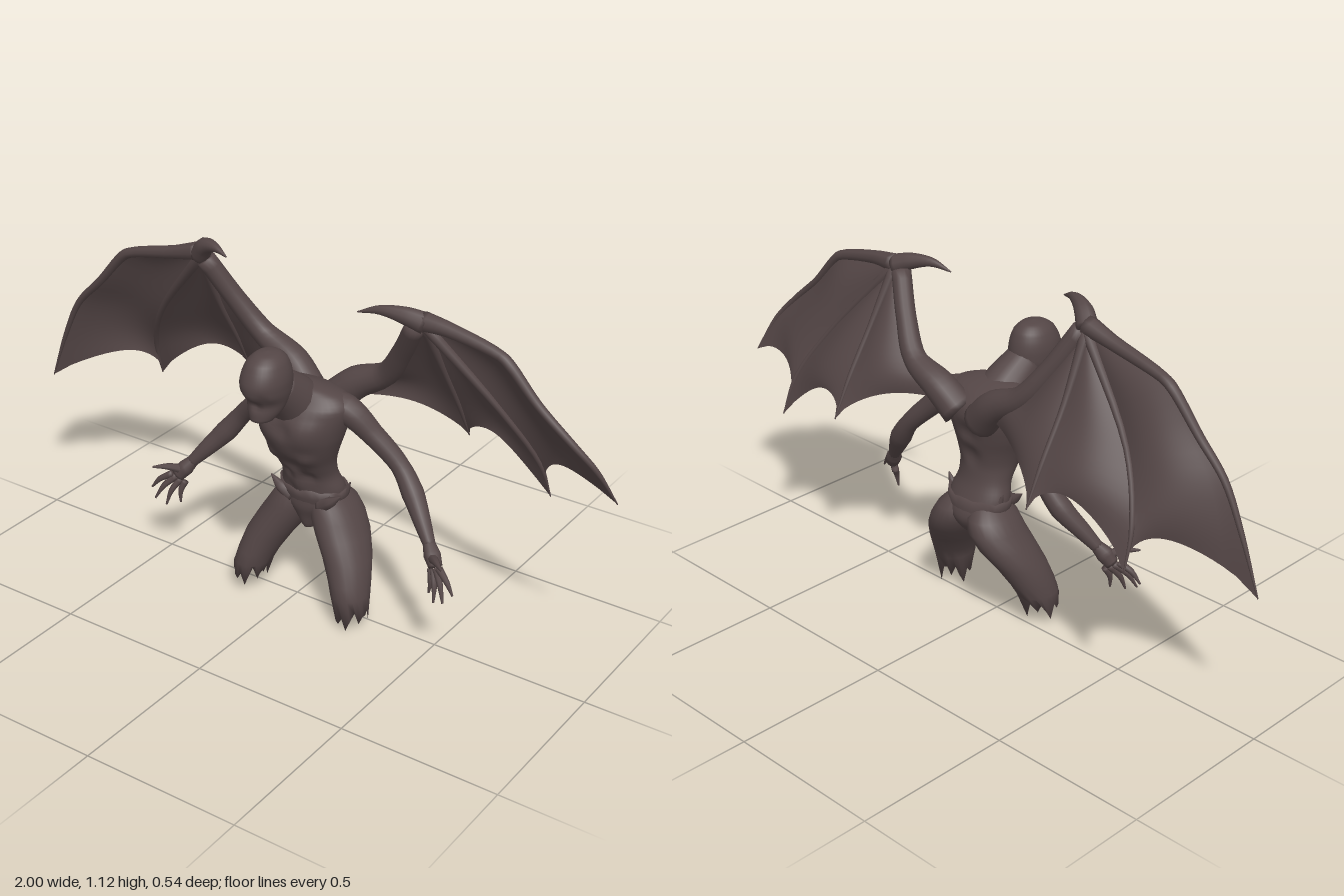
import * as THREE from 'three';

const V = (x, y, z) => new THREE.Vector3(x, y, z);
const skin = new THREE.MeshStandardMaterial({ color: 0x544646, side: THREE.DoubleSide });
skin.name = 'dark skin';

// Smooth skin over a list of point rings (wrap = closed around)
function skinGeo(rings, wrap) {
  const n = rings[0].length, idx = [];
  for (let j = 0; j < rings.length - 1; j++) {
    for (let i = 0; i < (wrap ? n : n - 1); i++) {
      const a = j * n + i, b = j * n + (i + 1) % n;
      idx.push(a, b, a + n, b, b + n, a + n);
    }
  }
  const g = new THREE.BufferGeometry().setFromPoints(rings.flat());
  g.setIndex(idx);
  g.computeVertexNormals();
  return g;
}

function add(group, name, geo) {
  const m = new THREE.Mesh(geo, skin);
  m.name = name;
  group.add(m);
}

// Horizontal rings going up: [y, centre x, half width, front z, back z, jag]
function loft(rows, seg = 28, fine = 3) {
  const mid = new THREE.CatmullRomCurve3(rows.map(r => V(r[1], r[0], (r[3] + r[4]) / 2)));
  const rad = new THREE.CatmullRomCurve3(rows.map(r => V(r[2], r[5] || 0, (r[3] - r[4]) / 2)));
  const rings = [], count = (rows.length - 1) * fine;
  for (let j = 0; j <= count; j++) {
    const c = mid.getPoint(j / count), r = rad.getPoint(j / count), ring = [];
    for (let i = 0; i < seg; i++) {
      const a = i / seg * Math.PI * 2;
      const jag = r.y * (0.5 + 0.3 * Math.sin(i * 2.2) + 0.2 * Math.sin(i * 0.9 + 1));
      ring.push(V(c.x + r.x * Math.cos(a), c.y + jag, c.z - r.z * Math.sin(a)));
    }
    rings.push(ring);
  }
  return skinGeo(rings, true);
}

const curveOf = pts => new THREE.CatmullRomCurve3(pts.map(p => V(p[0], p[1], p[2])));

// Round limb along a curve through [x, y, z, radius], closed at both ends
function limb(pts, seg = 12, steps = 5) {
  const curve = curveOf(pts), count = (pts.length - 1) * steps;
  const f = curve.computeFrenetFrames(count), rings = [];
  const ringAt = (j, scale) => {
    const t = j / count, s = t * (pts.length - 1), k = Math.min(Math.floor(s), pts.length - 2);
    const r = scale * THREE.MathUtils.lerp(pts[k][3], pts[k + 1][3], s - k), c = curve.getPoint(t);
    // frames are spaced by arc length, so rebuild the ring plane from the local tangent
    const T = curve.getTangent(t), N = f.normals[j].clone().addScaledVector(T, -f.normals[j].dot(T)).normalize();
    const B = T.clone().cross(N);
    return Array.from({ length: seg }, (_, i) => {
      const a = i / seg * Math.PI * 2;
      return c.clone().addScaledVector(N, r * Math.cos(a)).addScaledVector(B, r * Math.sin(a));
    });
  };
  rings.push(ringAt(0, 0));
  for (let j = 0; j <= count; j++) rings.push(ringAt(j, 1));
  rings.push(ringAt(count, 0));
  return skinGeo(rings, true);
}

// Push the surface along z near given points: [x, y, z, reach, amount]
function sculpt(geo, spots) {
  const p = geo.attributes.position, v = V(0, 0, 0);
  for (let i = 0; i < p.count; i++) {
    v.fromBufferAttribute(p, i);
    let dz = 0;
    for (const [x, y, z, reach, amount] of spots) {
      const d = v.distanceTo(V(x, y, z)) / reach;
      if (d < 1) dz += amount * (1 - d * d) ** 2;
    }
    p.setZ(i, v.z + dz);
  }
  geo.computeVertexNormals();
  return geo;
}

// Membrane fan between two finger curves that both start at the wrist
function membrane(a, b, wrist, scallop) {
  const rings = [], nv = 18, nu = 18;
  for (let j = 0; j <= nv; j++) {
    const v = j / nv, pa = a.getPointAt(v), pb = b.getPointAt(v), row = [];
    for (let i = 0; i <= nu; i++) {
      const u = i / nu, s = Math.max(0, Math.sin(Math.PI * u));
      const p = pa.clone().lerp(pb, u).lerp(wrist, scallop * s ** 0.5 * v ** 3);
      p.z -= 0.03 * s * Math.sin(Math.PI * v * 0.75);
      row.push(p);
    }
    rings.push(row);
  }
  return skinGeo(rings, false);
}

function wing(name, arm, hook, fingers) {
  const g = new THREE.Group();
  g.name = name;
  add(g, 'wingArm', limb(arm, 14));
  add(g, 'wingClaw', limb(hook, 10));
  fingers.forEach(f => add(g, 'wingFinger', limb(f, 8)));
  const w = fingers[0][0], wrist = V(w[0], w[1], w[2]);
  const curves = [curveOf([w, ...arm.slice(0, -1).reverse()]), ...fingers.map(curveOf)];
  [0.16, 0.21, 0.19].forEach((k, i) => add(g, 'wingMembrane', membrane(curves[i], curves[i + 1], wrist, k)));
  return g;
}

export function createModel() {
  const model = new THREE.Group();
  model.name = 'wingedCreature';

  // Torso with chest, hollow belly, ribs and spine groove
  add(model, 'torso', sculpt(loft([
    [0.25, 0.045, 0, -0.01, -0.01], [0.258, 0.045, 0.02, 0.02, -0.05], [0.3, 0.043, 0.055, 0.035, -0.1],
    [0.35, 0.043, 0.1, 0.047, -0.118], [0.4, 0.043, 0.105, 0.045, -0.098], [0.45, 0.04, 0.092, 0.058, -0.078],
    [0.5, 0.04, 0.096, 0.09, -0.07], [0.55, 0.04, 0.112, 0.122, -0.077], [0.6, 0.038, 0.132, 0.14, -0.088],
    [0.65, 0.038, 0.146, 0.14, -0.098], [0.7, 0.038, 0.156, 0.12, -0.092], [0.735, 0.038, 0.13, 0.09, -0.055],
    [0.757, 0.036, 0.07, 0.07, -0.005], [0.765, 0.036, 0, 0.03, 0.03]], 40, 4), [
    [-0.03, 0.635, 0.12, 0.07, 0.01], [0.105, 0.635, 0.12, 0.07, 0.01], [0.038, 0.64, 0.14, 0.04, -0.01],
    [0.038, 0.5, 0.09, 0.055, -0.018], [-0.02, 0.54, 0.09, 0.04, 0.012], [0.095, 0.54, 0.09, 0.04, 0.012],
    [0.0, 0.455, 0.06, 0.03, -0.012], [0.08, 0.455, 0.06, 0.03, -0.012], [0.04, 0.42, 0.05, 0.04, 0.01],
    [0.04, 0.62, -0.09, 0.05, 0.012], [0.04, 0.54, -0.08, 0.05, 0.012]]));

  // Torn skin around the waist
  add(model, 'waistTatters', loft([
    [0.345, 0.043, 0.1, 0.042, -0.112], [0.375, 0.043, 0.112, 0.05, -0.113],
    [0.397, 0.043, 0.114, 0.05, -0.104, 0.012], [0.385, 0.043, 0.09, 0.035, -0.08]], 26, 1));

  // Neck and head
  add(model, 'neck', limb([[0.036, 0.68, 0.04, 0.085], [0.03, 0.73, 0.085, 0.074], [0.022, 0.79, 0.15, 0.058]], 18));
  add(model, 'head', sculpt(loft([
    [0.906, 0.02, 0, 0.175, 0.175], [0.9, 0.02, 0.032, 0.215, 0.135], [0.88, 0.02, 0.054, 0.245, 0.11],
    [0.85, 0.02, 0.066, 0.263, 0.098], [0.82, 0.02, 0.07, 0.272, 0.093], [0.79, 0.02, 0.068, 0.268, 0.092],
    [0.76, 0.02, 0.06, 0.24, 0.11], [0.73, 0.02, 0.05, 0.243, 0.13], [0.705, 0.02, 0.034, 0.243, 0.165],
    [0.695, 0.02, 0, 0.22, 0.22]].reverse(), 36), [
    [-0.015, 0.785, 0.255, 0.025, -0.007], [0.055, 0.785, 0.255, 0.025, -0.007], [0.02, 0.757, 0.24, 0.022, -0.008]]));

  for (const [side, s] of [['left', 1], ['right', -1]]) {
    // Legs and arms mirror about slightly different centre lines
    const legX = x => 0.043 + s * (x - 0.043);
    const at = p => [0.05 + s * (p[0] - 0.05), ...p.slice(1)];
    const drop = s > 0 ? 0 : 0.025;

    // Thigh with a ragged, hollow lower end
    add(model, side + 'Thigh', loft([
      [0.11, 0.22, 0.01, 0.05, 0.03], [0.08, 0.225, 0.044, 0.09, -0.002, 0.02],
      [-0.01 + drop, 0.232, 0.052, 0.1, -0.004, 0.08], [0.1, 0.222, 0.057, 0.108, -0.033],
      [0.14, 0.21, 0.062, 0.1, -0.052], [0.2, 0.185, 0.072, 0.085, -0.085], [0.26, 0.15, 0.078, 0.07, -0.122],
      [0.31, 0.122, 0.077, 0.056, -0.136], [0.35, 0.108, 0.066, 0.046, -0.126], [0.39, 0.095, 0.04, 0.02, -0.09],
      [0.4, 0.09, 0, -0.03, -0.03]].map(r => [r[0], legX(r[1]), ...r.slice(2)]), 24, 1));

    // Hip spikes
    for (const tip of [[0.176, 0.41, 0.03, 0.002], [0.165, 0.425, -0.04, 0.002]])
      add(model, side + 'HipSpike', limb([[0.1, 0.355, tip[2] * 0.7, 0.025], [0.14, 0.38, tip[2], 0.018], tip].map(at), 6));

    // Arm
    add(model, side + 'Arm', limb([
      [0.11, 0.69, 0, 0.05], [0.175, 0.688, -0.003, 0.045], [0.25, 0.62, -0.026, 0.034], [0.335, 0.535, -0.043, 0.029],
      [0.39, 0.465, -0.03, 0.034], [0.445, 0.4, 0.002, 0.026], [0.488, 0.348, 0.028, 0.018]].map(at), 14));

    // Hand: palm, four fingers and thumb
    add(model, side + 'Palm', limb([[0.48, 0.358, 0.023, 0.018], [0.502, 0.33, 0.038, 0.026], [0.522, 0.302, 0.05, 0.021]].map(at), 10));
    const tips = [[0.602, 0.25, 0.085], [0.578, 0.224, 0.1], [0.542, 0.208, 0.09], [0.508, 0.214, 0.06]];
    tips.forEach((t, i) => {
      const base = [0.538 - i * 0.012, 0.308 - i * 0.008, 0.06 - i * 0.006];
      const knuckle = base.map((b, k) => (b + t[k]) / 2 + [0.005, 0.005, 0.004][k]);
      add(model, side + 'Finger', limb([[...base, 0.012], [...knuckle, 0.009], [...t, 0.003]].map(at), 7, 4));
    });
    add(model, side + 'Thumb', limb([[0.505, 0.325, 0.045, 0.016], [0.54, 0.34, 0.08, 0.011], [0.575, 0.342, 0.112, 0.003]].map(at), 7, 4));
  }

  // Wings: arm bone, hooked claw, then inner, middle and leading fingers
  model.add(wing('rightWing',
    [[-0.01, 0.67, -0.075, 0.055], [-0.08, 0.74, -0.09, 0.05], [-0.19, 0.805, -0.092, 0.036], [-0.27, 0.91, -0.06, 0.031], [-0.34, 1.035, -0.012, 0.03]],
    [[-0.36, 1.045, -0.012, 0.032], [-0.325, 1.085, 0.008, 0.027], [-0.27, 1.1, 0.03, 0.014], [-0.22, 1.088, 0.045, 0.002]],
    [[[-0.36, 1.04, -0.015, 0.018], [-0.368, 0.85, -0.11, 0.01], [-0.37, 0.7, -0.2, 0.008], [-0.37, 0.58, -0.262, 0.002]],
      [[-0.36, 1.04, -0.015, 0.018], [-0.58, 0.78, -0.09, 0.01], [-0.67, 0.61, -0.165, 0.008], [-0.685, 0.485, -0.21, 0.002]],
      [[-0.36, 1.055, -0.012, 0.03], [-0.45, 1.03, -0.012, 0.022], [-0.63, 0.985, -0.014, 0.016], [-0.665, 0.965, -0.014, 0.016], [-0.765, 0.855, -0.015, 0.013],
        [-0.86, 0.76, -0.02, 0.011], [-0.93, 0.63, -0.026, 0.008], [-1, 0.46, -0.03, 0.002]]]));
  model.add(wing('leftWing',
    [[0.08, 0.67, -0.075, 0.055], [0.15, 0.735, -0.09, 0.05], [0.25, 0.79, -0.092, 0.036], [0.32, 0.89, -0.06, 0.031], [0.39, 1.01, -0.012, 0.03]],
    [[0.42, 1.025, -0.012, 0.032], [0.37, 1.042, 0.008, 0.026], [0.3, 1.05, 0.03, 0.014], [0.235, 1.033, 0.045, 0.002]],
    [[[0.415, 1.02, -0.015, 0.018], [0.43, 0.85, -0.105, 0.01], [0.44, 0.7, -0.19, 0.008], [0.445, 0.58, -0.25, 0.002]],
      [[0.415, 1.02, -0.015, 0.018], [0.62, 0.78, -0.1, 0.01], [0.72, 0.61, -0.17, 0.008], [0.742, 0.487, -0.212, 0.002]],
      [[0.415, 1.03, -0.012, 0.03], [0.5, 1.025, -0.012, 0.022], [0.66, 0.99, -0.014, 0.016], [0.69, 0.97, -0.014, 0.016], [0.78, 0.875, -0.017, 0.013],
        [0.885, 0.785, -0.025, 0.011], [0.953, 0.71, -0.05, 0.008], [1, 0.6, -0.1, 0.002]]]));
  return model;
}
